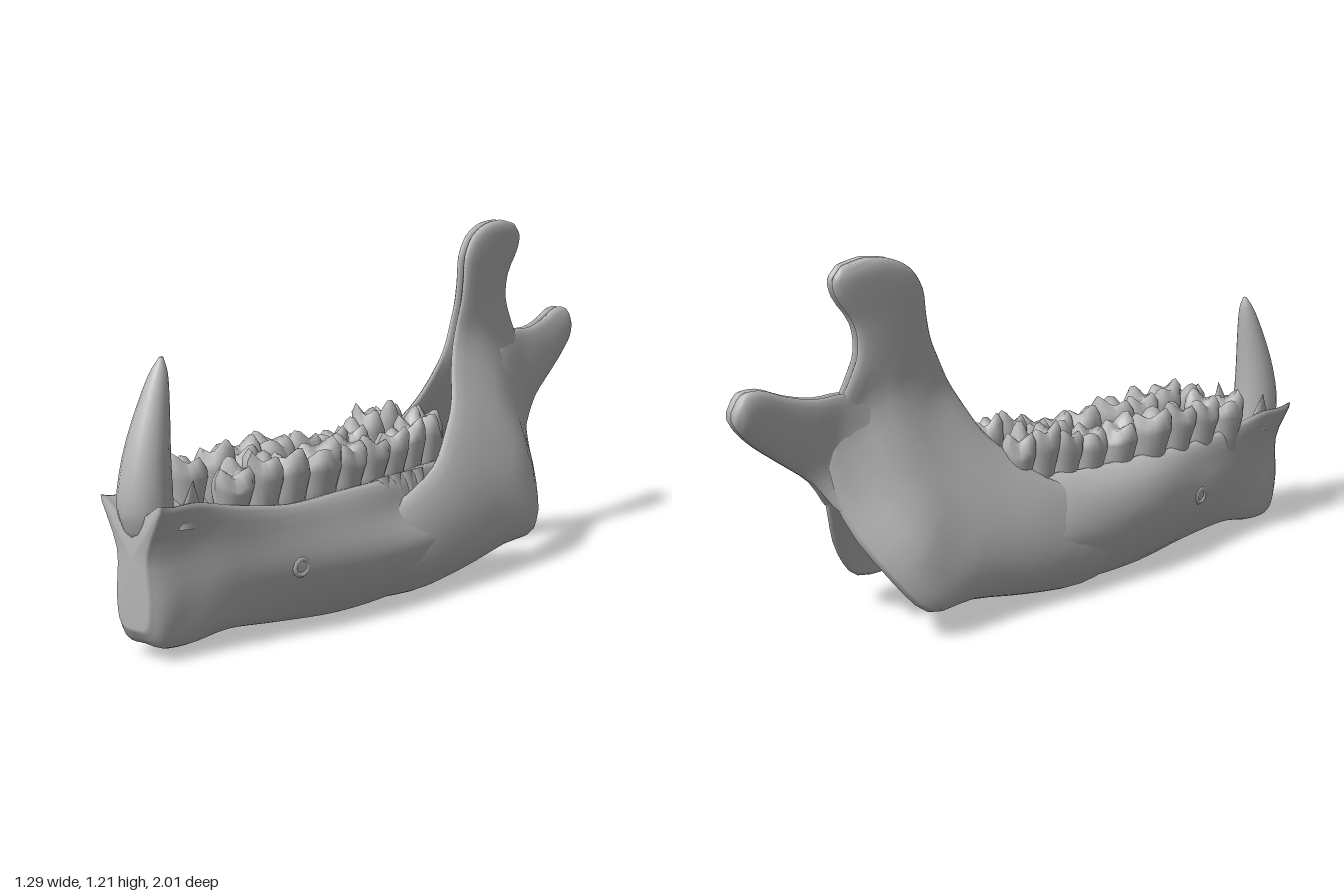
import * as THREE from 'three';

const bone = new THREE.MeshStandardMaterial({ color: 0xb8b8b8 });
bone.name = 'bone grey';

const V = (x, y, z) => new THREE.Vector3(x, y, z);
const smooth = THREE.MathUtils.smoothstep;
// The midline drifts slightly sideways behind the chin, less so high on the ramus
const midline = (z, y = 0) => 0.01 + 0.038 * (1 - smooth(z, 0.6, 1.05)) - 0.026 * smooth(y, 0.5, 0.95);

function add(group, name, geometry) {
  const mesh = new THREE.Mesh(geometry, bone);
  mesh.name = name;
  group.add(mesh);
  return mesh;
}

// Smooth closed skin through a row of rings with equal point counts
function loft(rings, steps) {
  const n = rings[0].length, rows = (rings.length - 1) * steps + 1;
  const cols = [];
  for (let j = 0; j < n; j++) {
    cols.push(new THREE.CatmullRomCurve3(rings.map((r) => r[j]), false, 'centripetal'));
  }
  const pos = [], idx = [];
  for (let i = 0; i < rows; i++) {
    for (const c of cols) pos.push(...c.getPoint(i / (rows - 1)).toArray());
  }
  for (let i = 0; i < rows - 1; i++) {
    for (let j = 0; j < n; j++) {
      const k = (j + 1) % n, a = i * n + j, b = i * n + k, c = a + n, d = b + n;
      idx.push(a, b, d, a, d, c);
    }
  }
  // End caps
  for (const [ring, row, flip] of [[rings[0], 0, false], [rings[rings.length - 1], rows - 1, true]]) {
    const centre = ring.reduce((s, p) => s.add(p), V(0, 0, 0)).divideScalar(n);
    const c = pos.length / 3;
    pos.push(...centre.toArray());
    for (let j = 0; j < n; j++) {
      const a = row * n + j, b = row * n + (j + 1) % n;
      idx.push(...(flip ? [c, a, b] : [c, b, a]));
    }
  }
  // Turn the faces outward if the enclosed volume is negative
  const at = (i) => V(pos[3 * i], pos[3 * i + 1], pos[3 * i + 2]);
  let volume = 0;
  for (let i = 0; i < idx.length; i += 3) volume += at(idx[i]).dot(at(idx[i + 1]).cross(at(idx[i + 2])));
  if (volume < 0) idx.reverse();
  const g = new THREE.BufferGeometry();
  g.setAttribute('position', new THREE.Float32BufferAttribute(pos, 3));
  g.setIndex(idx);
  g.computeVertexNormals();
  return g;
}

// Body section: gum top, flank, lower bulge, bottom edge and keel; the right flank is fuller at the back
function bodyRing([z, top, gum, wm, ym, wl, yl, wb, yb, keel]) {
  const full = 0.035 * (1 - smooth(z, 0.2, 0.6)) * smooth(z, -0.36, -0.1);
  const half = (f) => [[gum - 0.05, top - 0.03], [gum, top], [wm + f, ym + f], [wl, yl], [wb, yb]];
  const loop = [[0, top - 0.07], ...half(0), [0, keel], ...half(full).reverse().map(([x, y]) => [-x, y])];
  const curve = new THREE.CatmullRomCurve3(loop.map(([x, y]) => V(x + midline(z), y, z)), true, 'centripetal');
  return curve.getPoints(48).slice(0, 48);
}

// Sideways distance of the ramus: wide at the angle, converging upward and backward
function ramusOffset(z, y, side) {
  const knee = side > 0 ? -0.6 : -0.66;
  const w = 0.222 - 0.22 * smooth(y, 0.15, 0.92) - 0.55 * Math.max(0, knee - z)
    - 0.26 * Math.max(0, z) - 0.5 * Math.max(0, 0.12 - y)
    - (side > 0 ? 0 : 0.02 * smooth(z, -0.65, -0.45) * (1 - smooth(z, -0.25, 0)));
  return Math.max(0.014, w);
}

// Flat oval between a front/top edge point and a back/bottom edge point, bent to the offset
function ramusRing([z1, y1, z2, y2, thick], side) {
  const ring = [];
  for (let i = 0; i < 20; i++) {
    const a = (i / 20) * Math.PI * 2, t = 0.5 - 0.5 * Math.cos(a);
    const z = z1 + (z2 - z1) * t, y = y1 + (y2 - y1) * t;
    const s = Math.sign(Math.sin(a)) * Math.pow(Math.abs(Math.sin(a)), 0.8);
    ring.push(V(midline(z, y) + side * (ramusOffset(z, y, side) + thick * s), y, z));
  }
  return ring;
}

// Molar with a narrow neck, a full belly and uneven cusps
function toothGeometry(r, height, turn) {
  const profile = [[0.01, 0], [0.72, 0], [0.8, 0.35], [1, 0.65], [0.95, 0.8], [0.68, 0.95], [0.3, 0.88], [0, 0.82]];
  const g = new THREE.LatheGeometry(profile.map(([x, y]) => new THREE.Vector2(x * r, y * height)), 16);
  const p = g.attributes.position;
  for (let i = 0; i < p.count; i++) {
    const x = p.getX(i), y = p.getY(i), z = p.getZ(i), a = Math.atan2(x, z) + turn;
    const q = Math.hypot(x, z) / r, up = smooth(y / height, 0.5, 0.9);
    const bulge = 1 + 0.13 * Math.cos(3 * a) * up;
    p.setXYZ(i, x * bulge, y + up * q * height * (0.1 * Math.cos(3 * a) + 0.1 * Math.cos(a)), z * bulge * 1.15);
  }
  g.computeVertexNormals();
  return g;
}

export function createModel() {
  const model = new THREE.Group();
  model.name = 'jawbone';
  const jaw = new THREE.Group();
  jaw.name = 'turnedJaw';
  jaw.rotation.y = THREE.MathUtils.degToRad(-30.5);
  model.add(jaw);

  // Body and chin, back to front
  const body = [
    [-0.38, 0.28, 0.10, 0.18, 0.27, 0.225, 0.21, 0.21, 0.15, 0.20],
    [-0.28, 0.40, 0.11, 0.15, 0.31, 0.23, 0.21, 0.20, 0.11, 0.15],
    [-0.10, 0.42, 0.125, 0.16, 0.31, 0.24, 0.20, 0.18, 0.06, 0.07],
    [0.10, 0.41, 0.135, 0.18, 0.31, 0.245, 0.19, 0.15, 0.02, 0.03],
    [0.35, 0.41, 0.14, 0.19, 0.32, 0.23, 0.19, 0.12, 0.01, 0.01],
    [0.60, 0.41, 0.14, 0.17, 0.32, 0.182, 0.20, 0.10, 0.035, 0.035],
    [0.80, 0.44, 0.135, 0.14, 0.32, 0.135, 0.20, 0.09, 0.055, 0.055],
    [0.94, 0.47, 0.13, 0.105, 0.33, 0.105, 0.16, 0.085, 0.04, 0.035],
    [1.03, 0.47, 0.125, 0.08, 0.33, 0.092, 0.14, 0.07, 0.05, 0.045],
    [1.075, 0.48, 0.125, 0.06, 0.33, 0.065, 0.18, 0.05, 0.11, 0.10],
  ];
  add(jaw, 'jawBody', loft(body.map(bodyRing), 4));

  // Ramus blade up to the coronoid, and the condyle branch
  const blade = [
    [0.42, 0.18, 0.38, 0.08, 0.012], [0.30, 0.23, 0.26, 0.03, 0.022], [0.10, 0.33, 0.03, 0.012, 0.032],
    [-0.10, 0.42, -0.20, 0.035, 0.036], [-0.22, 0.52, -0.44, 0.085, 0.036], [-0.30, 0.60, -0.63, 0.10, 0.034],
    [-0.36, 0.70, -0.74, 0.22, 0.030], [-0.41, 0.78, -0.84, 0.42, 0.026], [-0.45, 0.86, -0.87, 0.64, 0.022],
    [-0.48, 0.93, -0.79, 0.82, 0.021], [-0.495, 1.01, -0.75, 0.92, 0.022], [-0.505, 1.09, -0.76, 1.01, 0.025],
    [-0.55, 1.16, -0.82, 1.10, 0.027], [-0.63, 1.20, -0.83, 1.15, 0.025], [-0.71, 1.21, -0.80, 1.19, 0.014],
  ];
  const condyle = [
    [-0.58, 0.74, -0.68, 0.36, 0.01], [-0.79, 0.80, -0.83, 0.42, 0.02], [-0.90, 0.80, -0.91, 0.53, 0.022],
    [-1.00, 0.825, -1.01, 0.61, 0.024], [-1.09, 0.86, -1.10, 0.68, 0.03], [-1.145, 0.855, -1.15, 0.73, 0.03],
    [-1.175, 0.81, -1.175, 0.77, 0.016],
  ];
  // Tooth row: z, radius, tip height
  const teeth = [
    [-0.18, 0.052, 0.59], [-0.08, 0.053, 0.59], [0.02, 0.056, 0.55], [0.13, 0.058, 0.54],
    [0.26, 0.062, 0.55], [0.40, 0.072, 0.56], [0.53, 0.062, 0.56], [0.65, 0.060, 0.57], [0.77, 0.060, 0.55],
  ];
  for (const side of [1, -1]) {
    const label = side > 0 ? 'left' : 'right';
    add(jaw, label + 'Ramus', loft(blade.map((r) => ramusRing(r, side)), 3));
    add(jaw, label + 'Condyle', loft(condyle.map((r) => ramusRing(r, side)), 3));

    teeth.forEach(([z, r, tip], i) => {
      const tooth = add(jaw, label + 'Molar', toothGeometry(r, tip - 0.35, i * 1.7 + side));
      tooth.position.set(midline(z) - 0.015 + side * (0.078 + 0.012 * smooth(z, 0, 0.4)), 0.35, z);
      tooth.rotation.z = -side * 0.06;
    });

    // Rim of the nerve opening on the flank
    const rim = add(jaw, label + 'NerveOpening', new THREE.TorusGeometry(0.025, 0.01, 6, 10));
    rim.position.set(midline(0.59) + side * 0.18, 0.22, 0.59);
    rim.rotation.y = side * 1.4;

    // Bony point beside the tusk socket
    const point = add(jaw, label + 'SocketPoint', new THREE.ConeGeometry(0.06, 0.14, 9));
    point.position.set(side * 0.105 + midline(0.94), 0.465, 0.94);
    point.scale.x = 0.45;
    point.rotation.z = -side * 0.15;
  }

  // Exposed roots in the pit on the left flank
  for (let i = 0; i < 4; i++) {
    const root = add(jaw, 'exposedRoot', new THREE.ConeGeometry(0.034, 0.15, 8));
    root.position.set(midline(0) + 0.15, 0.34, -0.04 + i * 0.06);
    root.rotation.set(Math.PI, 0, -0.45);
  }

  // Curved tusk: height, z, radius
  const tusk = [[0.36, 1.0, 0.07], [0.45, 1.02, 0.082], [0.60, 1.01, 0.07], [0.75, 0.978, 0.046], [0.84, 0.955, 0.025], [0.88, 0.945, 0.006]];
  add(jaw, 'tusk', loft(tusk.map(([y, z, r]) => Array.from({ length: 16 }, (_, i) => {
    const a = (i / 16) * Math.PI * 2;
    return V(0.014 + r * Math.cos(a), y, z + r * Math.sin(a));
  })), 3));

  return model;
}
